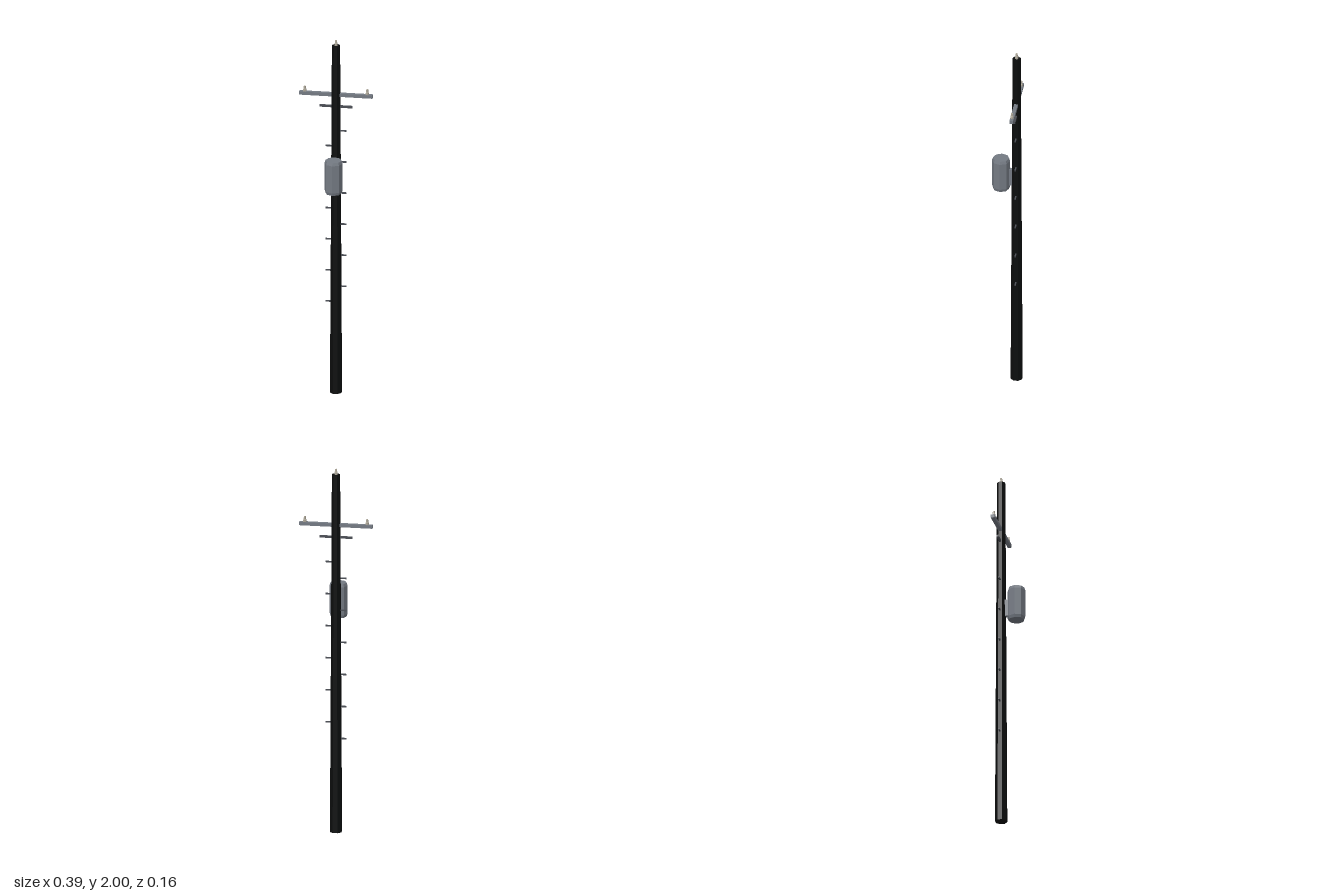
import * as THREE from 'three';

const material = (name, color) => {
  const m = new THREE.MeshStandardMaterial({ color, flatShading: true });
  m.name = name;
  return m;
};

export function createModel() {
  const group = new THREE.Group();
  group.name = 'utilityPole';
  const tar = material('tarredWood', 0x0b0d0d);
  const steel = material('greySteel', 0x747a83);
  const darkSteel = material('darkSteel', 0x4a4d54);
  const ceramic = material('ceramic', 0xb0aa9c);
  const poleZ = -0.052;

  const add = (name, geometry, mat, x, y, z) => {
    const mesh = new THREE.Mesh(geometry, mat);
    mesh.name = name;
    mesh.position.set(x, y, z);
    group.add(mesh);
    return mesh;
  };

  // Tapered octagonal pole, flat sides facing the axes
  add('pole', new THREE.CylinderGeometry(0.0225, 0.033, 1.97, 8).rotateY(Math.PI / 8), tar, 0, 0.985, poleZ);

  // Cross arm and the shorter bar under it
  add('crossArm', new THREE.BoxGeometry(0.392, 0.018, 0.02), steel, 0, 1.692, poleZ);
  add('lowerBar', new THREE.BoxGeometry(0.176, 0.011, 0.011), darkSteel, 0, 1.625, poleZ);

  // Insulators on the arm ends and the pole top
  const insulator = new THREE.LatheGeometry(
    [[0, 0], [0.009, 0], [0.009, 0.012], [0.0065, 0.018], [0.0055, 0.031], [0, 0.031]]
      .map(([r, y]) => new THREE.Vector2(r, y)), 6);
  for (const [x, y] of [[-0.167, 1.7], [0, 1.969], [0.167, 1.7]]) {
    add('insulator', insulator, ceramic, x, y, poleZ);
  }

  // Climbing pegs, alternating sides
  for (let i = 0; i < 12; i++) {
    const side = i % 2 ? 1 : -1;
    add('climbingPeg', new THREE.BoxGeometry(0.04, 0.007, 0.007), darkSteel, side * 0.036, 0.515 + i * 0.0884, poleZ);
  }

  // Transformer tank with bevelled ends
  const tank = new THREE.LatheGeometry(
    [[0, 0], [0.043, 0], [0.048, 0.016], [0.048, 0.17], [0.043, 0.186], [0, 0.186]]
      .map(([r, y]) => new THREE.Vector2(r, y)), 8);
  add('transformerTank', tank, steel, 0, 1.164, 0.031);

  // Bracket between tank and pole
  add('tankBracket', new THREE.BoxGeometry(0.024, 0.095, 0.05), steel, 0, 1.238, -0.02);

  return group;
}
